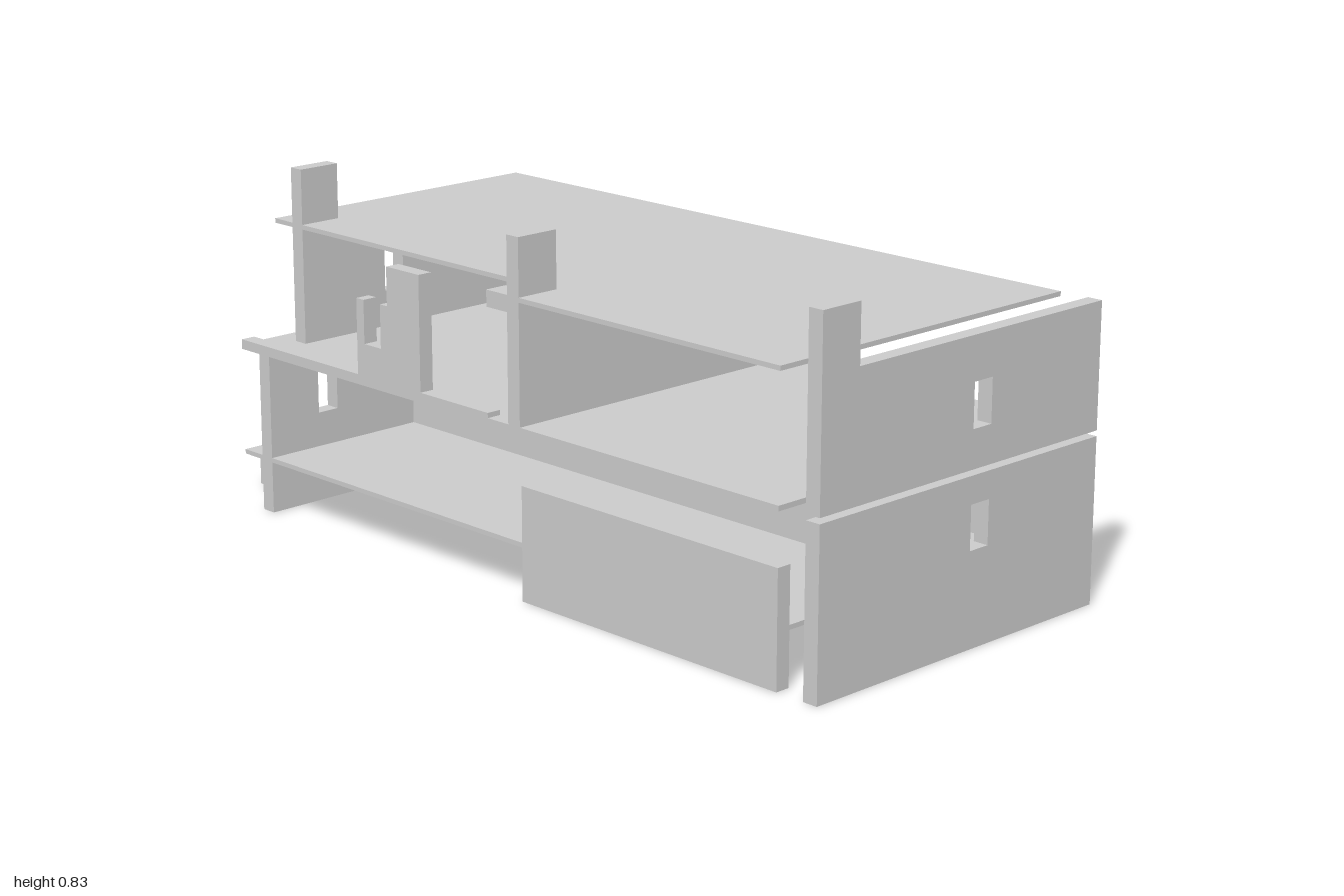
import * as THREE from 'three';

const material = new THREE.MeshStandardMaterial({ color: 0xcccccc });

export function createModel() {
  const model = new THREE.Group();
  const add = (name, geometry) => {
    const mesh = new THREE.Mesh(geometry, material);
    mesh.name = name;
    model.add(mesh);
    return mesh;
  };

  // Axis-aligned slab from its limits
  const box = (name, x0, x1, y0, y1, z0, z1) =>
    add(name, new THREE.BoxGeometry(x1 - x0, y1 - y0, z1 - z0))
      .position.set((x0 + x1) / 2, (y0 + y1) / 2, (z0 + z1) / 2);

  const outline = (points) => new THREE.Shape(points.map(([a, b]) => new THREE.Vector2(a, b)));
  const extrude = (shape, depth) =>
    new THREE.ExtrudeGeometry(shape, { depth, bevelEnabled: false });

  // Wall facing z, outlined in x and y, with windows given as [left x, bottom y]
  const crossWall = (name, points, z0, z1, windows = []) => {
    const shape = outline(points);
    for (const [x, y] of windows) {
      const w = 0.058, h = 0.103;
      shape.holes.push(new THREE.Path([
        new THREE.Vector2(x, y), new THREE.Vector2(x, y + h),
        new THREE.Vector2(x + w, y + h), new THREE.Vector2(x + w, y),
      ]));
    }
    add(name, extrude(shape, z1 - z0)).position.z = z0;
  };

  // Wall facing x, outlined in z and y
  const sideWall = (name, points, x0, x1) => {
    const geometry = extrude(outline(points.map(([z, y]) => [-z, y])), x1 - x0);
    geometry.rotateY(Math.PI / 2);
    add(name, geometry).position.x = x0;
  };

  const L = -0.447, R = 0.447;
  const B = -0.895, F = 0.887;
  const rim = -0.335;
  const roofY = 0.697, roofLow = 0.686;

  // Floors, and the roof with its corner cut away
  box('lowerFloor', L, R, 0.127, 0.138, B, F);
  box('middleFloor', L, R, 0.391, 0.403, B, F);
  const roof = extrude(outline([
    [L, -F], [R, -F], [R, -B], [rim, -B], [rim, 0], [L, 0],
  ]), roofY - roofLow);
  roof.rotateX(-Math.PI / 2);
  add('roof', roof).position.y = roofLow;

  // Detached front wall in two storeys, with a chimney
  crossWall('frontLowerWall', [[L, 0], [R, 0], [R, 0.39], [L, 0.39]], 0.962, 1, [[0.025, 0.223]]);
  crossWall('frontUpperWall', [
    [L, 0.403], [R, 0.403], [R, roofY], [rim, roofY], [rim, 0.832], [L, 0.832],
  ], 0.962, 1, [[0.025, 0.492]]);

  // Back wall in two storeys, with a chimney
  crossWall('backLowerWall', [[L, 0], [R, 0], [R, 0.391], [L, 0.391]], -0.828, -0.79,
    [[-0.3, 0.223]]);
  crossWall('backUpperWall', [
    [rim, 0.403], [R, 0.403], [R, roofY], [-0.225, roofY], [-0.225, 0.832], [rim, 0.832],
  ], -0.828, -0.79, [[0.357, 0.492], [-0.083, 0.492]]);

  // Cross wall of the upper storey, with a chimney and a lintel
  crossWall('middleUpperWall', [
    [L, 0.403], [R, 0.403], [R, roofLow], [rim, roofLow], [rim, 0.832], [L, 0.832],
  ], 0.068, 0.106);
  box('lintel', L, -0.41, 0.658, roofLow, 0, 0.068);

  // Lengthwise walls of the lower storey
  sideWall('steppedSideWall', [
    [F, 0.138], [-0.79, 0.138], [-0.79, 0.27], [0, 0.27], [0, 0.391], [F, 0.391],
  ], 0.325, 0.362);
  box('lowerPartition', 0, 0.037, 0.138, 0.391, B, F);

  // Foundation and outer side walls
  box('leftFoundation', 0.325, 0.362, 0, 0.127, -0.79, 0);
  box('rightOuterWall', L, -0.41, 0, 0.27, 0.11, F);

  // Terrace curb and the stepped wall fragment standing on it
  box('terraceCurb', L, -0.41, 0.403, 0.415, B, 0);
  sideWall('terraceWall', [
    [-0.23, 0.415], [-0.453, 0.415], [-0.453, 0.597], [-0.427, 0.597], [-0.427, 0.492],
    [-0.368, 0.492], [-0.368, 0.597], [-0.343, 0.597], [-0.343, 0.69], [-0.23, 0.69],
  ], L, -0.41);

  // Step block behind the house
  box('backStep', -0.324, -0.239, 0, 0.067, -1, -0.915);

  return model;
}
